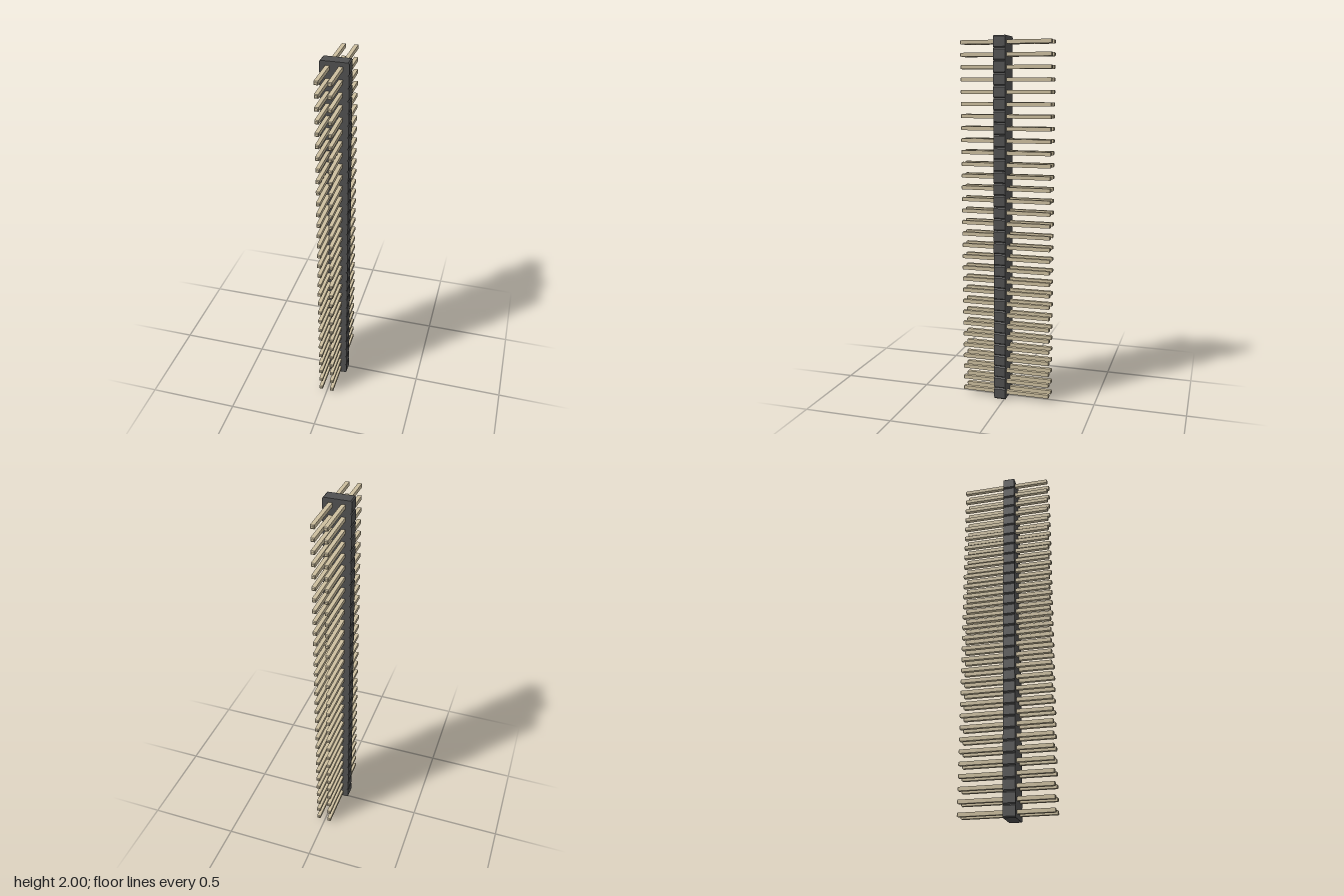
import * as THREE from 'three';

const ROWS = 31;
const PITCH = 2 / ROWS;
const HALF_WIDTH = 0.074;
const CHAMFER = 0.0065;
const BACK = -0.007, FRONT = 0.057;
const PIN_X = 0.0323, PIN_HALF = 0.0103, PIN_LENGTH = 0.502, TIP = 0.004;

// Strip outline: one chamfered block per row, leaving V notches down both sides
function housingGeometry() {
  const right = [];
  for (let i = 0; i < ROWS; i++) {
    const y0 = i * PITCH, y1 = y0 + PITCH;
    right.push(
      new THREE.Vector2(HALF_WIDTH - CHAMFER, y0),
      new THREE.Vector2(HALF_WIDTH, y0 + CHAMFER),
      new THREE.Vector2(HALF_WIDTH, y1 - CHAMFER)
    );
  }
  right.push(new THREE.Vector2(HALF_WIDTH - CHAMFER, 2));
  const left = right.map(p => new THREE.Vector2(-p.x, p.y)).reverse();
  const geometry = new THREE.ExtrudeGeometry(new THREE.Shape([...right, ...left]), {
    depth: FRONT - BACK, bevelEnabled: false
  });
  return geometry.translate(0, 0, BACK);
}

// Square pin with a chamfered tip at each end
function pinGeometry() {
  const h = PIN_HALF - TIP;
  const square = new THREE.Shape([
    new THREE.Vector2(-h, -h), new THREE.Vector2(h, -h),
    new THREE.Vector2(h, h), new THREE.Vector2(-h, h)
  ]);
  const depth = PIN_LENGTH - 2 * TIP;
  const geometry = new THREE.ExtrudeGeometry(square, {
    depth, bevelEnabled: true, bevelSegments: 1, bevelSize: TIP, bevelThickness: TIP
  });
  return geometry.translate(0, 0, -depth / 2);
}

export function createModel() {
  const model = new THREE.Group();
  model.name = 'pinHeader';

  const plastic = new THREE.MeshStandardMaterial({ color: 0x505050 });
  const metal = new THREE.MeshStandardMaterial({ color: 0xcdbf9f });

  const housing = new THREE.Mesh(housingGeometry(), plastic);
  housing.name = 'housing';
  model.add(housing);

  // Two columns of pins
  const pinShape = pinGeometry();
  for (const side of [1, -1]) {
    const column = new THREE.Group();
    column.name = side > 0 ? 'leftPins' : 'rightPins';
    for (let i = 0; i < ROWS; i++) {
      const pin = new THREE.Mesh(pinShape, metal);
      pin.name = 'pin';
      pin.position.set(side * PIN_X, (i + 0.5) * PITCH, 0);
      column.add(pin);
    }
    model.add(column);
  }
  return model;
}
